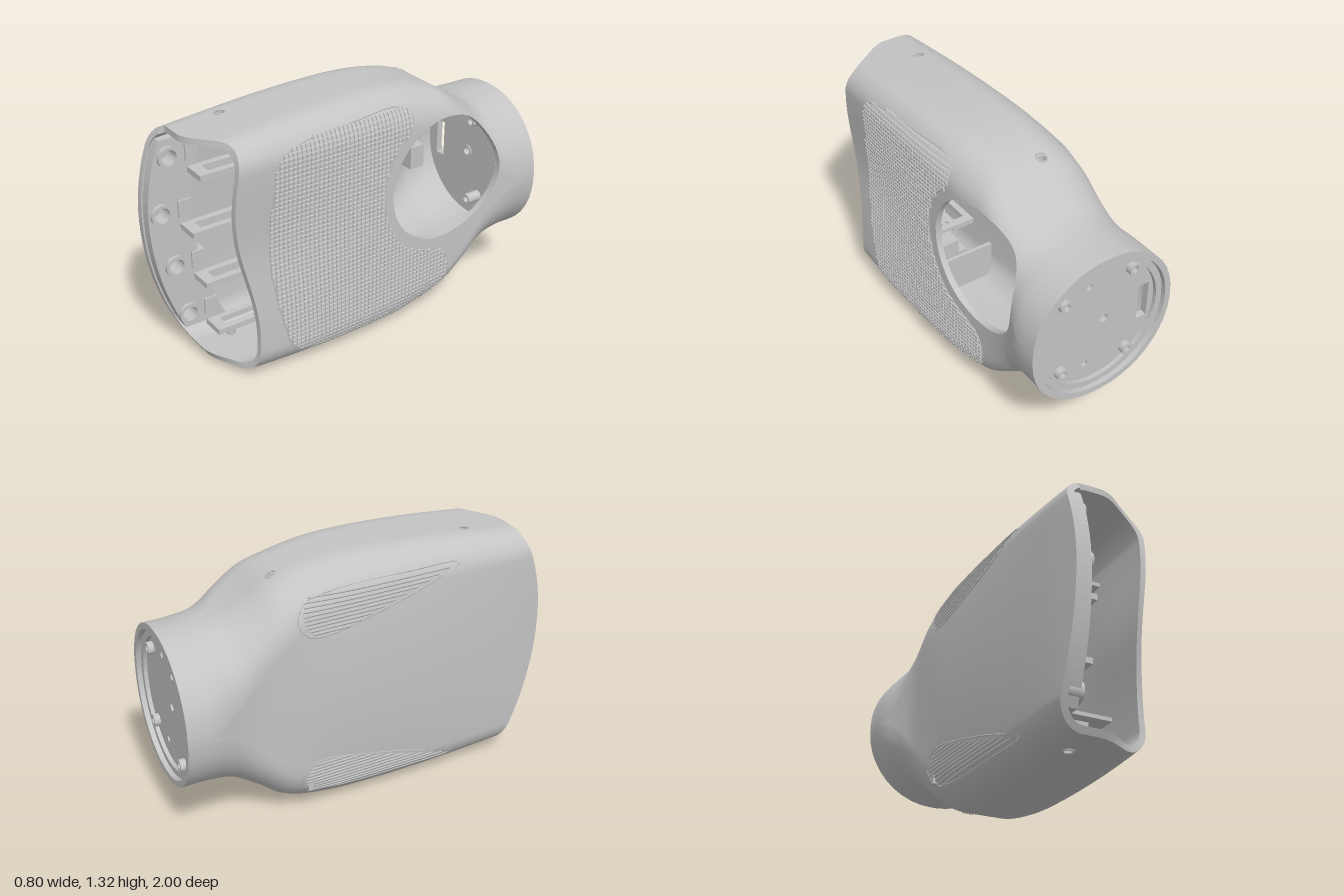
import * as THREE from 'three';
import { mergeGeometries } from 'three/addons/utils/BufferGeometryUtils.js';

const WALL = 0.032, CY = 0.665;
const HOLE = { z: -0.445, y: 0.79, r: 0.335 };
const SCREW = { x: -0.05, zs: [-0.43, 0.62], r: 0.022 };

// Cross-sections: z, xLeft, xRight, yBottom, yTop, corner radius, back bulge
const SECTIONS = [
  [-1, -0.4, 0.4, 0.265, 1.065, 0.385, 0], [-0.85, -0.39, 0.39, 0.265, 1.07, 0.375, 0],
  [-0.72, -0.345, 0.345, 0.235, 1.09, 0.33, 0], [-0.6, -0.315, 0.325, 0.17, 1.15, 0.27, 0],
  [-0.45, -0.3, 0.32, 0.065, 1.25, 0.24, 0.01], [-0.25, -0.265, 0.33, 0.015, 1.305, 0.2, 0.045],
  [0, -0.25, 0.335, 0.003, 1.325, 0.18, 0.05], [0.4, -0.235, 0.335, 0.015, 1.315, 0.16, 0.04],
  [0.8, -0.22, 0.325, 0.045, 1.285, 0.14, 0.02], [1, -0.2, 0.31, 0.055, 1.275, 0.13, 0.01],
];

function section(z, inset) {
  let i = 0;
  while (i < SECTIONS.length - 2 && z > SECTIONS[i + 1][0]) i++;
  const at = k => SECTIONS[Math.max(0, Math.min(SECTIONS.length - 1, k))];
  const [p, a, b, n] = [at(i - 1), at(i), at(i + 1), at(i + 2)];
  const h = b[0] - a[0], t = (z - a[0]) / h, t2 = t * t, t3 = t2 * t;
  const [, xl, xr, yb, yt, r, bulge] = a.map((v, k) => {
    const m0 = (b[k] - p[k]) / (b[0] - p[0]) * h, m1 = (n[k] - a[k]) / (n[0] - a[0]) * h;
    return (2 * t3 - 3 * t2 + 1) * v + (t3 - 2 * t2 + t) * m0 + (3 * t2 - 2 * t3) * b[k] + (t3 - t2) * m1;
  });
  // The palm side keeps tighter corners around the thumb opening
  const rr = r * (1 - 0.42 * Math.exp(-(((z + 0.56) / 0.18) ** 2)));
  return { xl: xl + inset, xr: xr - inset, yb: yb + inset, yt: yt - inset, r: r - inset, rr: rr - inset, bulge };
}

// Bulged back of the hand and hollow palm
function warp(x, y, z, s) {
  if (x < 0) {
    const q = (2 * y - s.yb - s.yt) / (s.yt - s.yb);
    return x - s.bulge * (1 - q * q) * Math.min(1, -x / 0.2);
  }
  return x - 0.03 * THREE.MathUtils.smoothstep(z, -0.1, 0.6) * Math.exp(-(((y - 0.72) / 0.3) ** 2)) * x / 0.33;
}

const ARC = 10, FLAT = 18, LOOP = 4 * (ARC + FLAT);
function corner(s, k, a) {
  const right = k === 0 || k === 3, top = k < 2, r = right ? s.rr : s.r;
  return [(right ? s.xr - r : s.xl + r) + r * Math.cos(a), (top ? s.yt - r : s.yb + r) + r * Math.sin(a)];
}
function skin(u, z, inset) {
  const s = section(z, inset), k = Math.floor(u / (ARC + FLAT)) % 4, j = u % (ARC + FLAT);
  let [x, y] = corner(s, k, (k + Math.min(1, j / ARC)) * Math.PI / 2);
  if (j > ARC) {
    const e = corner(s, (k + 1) % 4, (k + 1) * Math.PI / 2), f = (j - ARC) / FLAT;
    x += (e[0] - x) * f;
    y += (e[1] - y) * f;
  }
  return [warp(x, y, z, s), y, z];
}
// Side surface x at a given y and z
function sideX(side, y, z, inset = 0) {
  const s = section(z, inset), r = side > 0 ? s.rr : s.r;
  const over = Math.max(0, y - s.yt + r, s.yb + r - y);
  const cut = r - Math.sqrt(Math.max(0, r * r - over * over));
  return warp(side > 0 ? s.xr - cut : s.xl + cut, y, z, s);
}

// Scalloped finger end
const knuckleArc = y => 1 - (y < 0.8 ? 0.36 : 0.5) * (y - 0.8) ** 2;
function endZ(x, y) {
  if (x < -0.12) return knuckleArc(y);
  const wave = 0.72 + 0.05 * Math.sin((y - 0.62) * 4.6);
  return THREE.MathUtils.lerp(Math.min(0.88, knuckleArc(y)), wave, THREE.MathUtils.smoothstep(x, 0, 0.3));
}
function shellPoint(u, v, inset) {
  const p = skin(u, 0.85, inset);
  return skin(u, -1 + (endZ(p[0], p[1]) + 1) * v, inset);
}

function grid(nu, nv, fn) {
  const pos = [], idx = [];
  for (let j = 0; j <= nv; j++) for (let i = 0; i < nu; i++) pos.push(...fn(i, j));
  for (let j = 0; j < nv; j++) for (let i = 0; i < nu; i++) {
    const n = (i + 1) % nu, a = j * nu + i, b = j * nu + n;
    idx.push(a, b, b + nu, a, b + nu, a + nu);
  }
  const g = new THREE.BufferGeometry();
  g.setAttribute('position', new THREE.Float32BufferAttribute(pos, 3));
  g.setIndex(idx);
  g.computeVertexNormals();
  return g;
}

// Trim away the part of a surface where keep() is negative
function clip(geo, keep) {
  const P = geo.attributes.position, N = geo.attributes.normal, I = geo.index, pos = [], nor = [];
  const vert = i => [P.getX(i), P.getY(i), P.getZ(i), N.getX(i), N.getY(i), N.getZ(i)];
  for (let i = 0; i < I.count; i += 3) {
    const tri = [0, 1, 2].map(k => vert(I.getX(i + k))), out = [];
    tri.forEach((a, k) => {
      const b = tri[(k + 1) % 3], fa = keep(a), fb = keep(b);
      if (fa >= 0) out.push(a);
      if (fa * fb < 0) out.push(a.map((c, m) => c + (b[m] - c) * fa / (fa - fb)));
    });
    for (let k = 1; k + 1 < out.length; k++) for (const q of [out[0], out[k], out[k + 1]]) {
      pos.push(q[0], q[1], q[2]);
      nor.push(q[3], q[4], q[5]);
    }
  }
  const g = new THREE.BufferGeometry();
  g.setAttribute('position', new THREE.Float32BufferAttribute(pos, 3));
  g.setAttribute('normal', new THREE.Float32BufferAttribute(nor, 3));
  return g;
}

function inside(x, y, poly) {
  let hit = false;
  poly.forEach((a, i) => {
    const b = poly[(i + 1) % poly.length];
    if ((a.y > y) !== (b.y > y) && x < (b.x - a.x) * (y - a.y) / (b.y - a.y) + a.x) hit = !hit;
  });
  return hit;
}
const circle = (x, y, r) => new THREE.Path().absarc(x, y, r, 0, Math.PI * 2);
const disc = (x, y, r) => new THREE.Shape().absarc(x, y, r, 0, Math.PI * 2);
const rect = (x0, y0, x1, y1) => new THREE.Shape([[x0, y0], [x1, y0], [x1, y1], [x0, y1]].map(p => new THREE.Vector2(...p)));
const extrude = (shape, depth, holes = []) => {
  shape.holes.push(...holes);
  return new THREE.ExtrudeGeometry(shape, { depth, bevelEnabled: false, curveSegments: 24 });
};

export function createModel() {
  const group = new THREE.Group();
  const grey = new THREE.MeshStandardMaterial({ name: 'shellGrey', color: 0xc4c4c4, side: THREE.DoubleSide });
  const add = (name, geo) => {
    const m = new THREE.Mesh(geo, grey);
    m.name = name;
    group.add(m);
    return m;
  };
  const box = (name, x0, x1, y0, y1, z0, z1) =>
    add(name, new THREE.BoxGeometry(x1 - x0, y1 - y0, z1 - z0).translate((x0 + x1) / 2, (y0 + y1) / 2, (z0 + z1) / 2));

  // Hollow palm shell with a round thumb opening and drilled screw holes
  const keep = p => p[0] > 0 ? Math.hypot(p[1] - HOLE.y, p[2] - HOLE.z) - HOLE.r
    : Math.min(...SCREW.zs.map(z => Math.hypot(p[0] - SCREW.x, p[2] - z))) - SCREW.r;
  for (const [name, inset] of [['outerShell', 0], ['innerShell', WALL]])
    add(name, clip(grid(LOOP, 110, (u, j) => shellPoint(u, j / 110, inset)), keep));
  add('fingerEndRim', grid(LOOP, 1, (u, j) => shellPoint(u, 1, j * WALL)));
  add('wristRim', grid(LOOP, 1, (u, j) => shellPoint(u, 0, j * WALL)));
  add('thumbOpeningRim', grid(72, 1, (i, j) => {
    const a = i / 72 * Math.PI * 2, y = HOLE.y + HOLE.r * Math.sin(a), z = HOLE.z + HOLE.r * Math.cos(a);
    return [sideX(1, y, z, j * WALL), y, z];
  }));

  // Grip pad: fine outline and rows of low flat-topped nubs
  const outline = [[0.59, 0.65], [0.57, 1.02], [0.53, 1.18], [0.42, 1.225], [0.1, 1.25], [-0.15, 1.25], [-0.225, 1.21],
    [-0.21, 1.12], [-0.11, 1.01], [-0.055, 0.82], [-0.09, 0.62], [-0.2, 0.47], [-0.36, 0.4], [-0.46, 0.35], [-0.49, 0.24],
    [-0.42, 0.13], [-0.28, 0.085], [0, 0.075], [0.38, 0.09], [0.47, 0.13], [0.53, 0.28]];
  const poly = new THREE.CatmullRomCurve3(outline.map(p => new THREE.Vector3(p[0], p[1], 0)), true).getPoints(140).slice(0, -1);
  const bead = new THREE.CatmullRomCurve3(poly.map(p => new THREE.Vector3(sideX(1, p.y, p.x), p.y, p.x)), true);
  add('gripBorder', new THREE.TubeGeometry(bead, 200, 0.004, 5, true));
  const nubs = [], step = 0.024;
  const quad = (a, b, c, d) => nubs.push(...a, ...b, ...c, ...a, ...c, ...d);
  for (let z = -0.5; z < 0.62; z += step) for (let y = 0.06; y < 1.27; y += step) {
    if (!inside(z, y, poly)) continue;
    const ring = (h, lift) => [[-h, -h], [-h, h], [h, h], [h, -h]]
      .map(([dy, dz]) => [sideX(1, y + dy, z + dz) + lift, y + dy, z + dz]);
    const base = ring(0.0105, 0), top = ring(0.0085, 0.009);
    quad(...top);
    base.forEach((p, k) => quad(p, base[(k + 1) % 4], top[(k + 1) % 4], top[k]));
  }
  const nubGeo = new THREE.BufferGeometry();
  nubGeo.setAttribute('position', new THREE.Float32BufferAttribute(nubs, 3));
  nubGeo.computeVertexNormals();
  add('gripNubs', nubGeo);

  // Ribbed teardrop grips on the back of the hand, upper and lower
  for (const flip of [1, -1]) {
    const place = (y, z) => {
      const yy = flip > 0 ? y : 2 * CY - y;
      return new THREE.Vector3(sideX(-1, yy, z), yy, z);
    };
    const tube = (pts, r, closed) => new THREE.TubeGeometry(new THREE.CatmullRomCurve3(pts, closed), 40, r, 5, closed);
    const edge = [[-0.4, 1.1], [-0.36, 1.03], [-0.26, 1.01], [0, 1.06], [0.3, 1.14], [0.5, 1.215], [0.2, 1.225], [-0.2, 1.215], [-0.35, 1.18]];
    const ribs = [tube(edge.map(p => place(p[1], p[0])), 0.004, true)];
    for (let y = 1.03; y < 1.215; y += 0.019) {
      const z0 = -0.37 + 0.06 * ((y - 1.12) / 0.1) ** 2, z1 = -0.2 + 0.68 * (y - 1.01) / 0.205;
      ribs.push(tube([0, 1, 2, 3, 4, 5].map(k => place(y, z0 + (z1 - z0) * k / 5)), 0.006, false));
    }
    add(flip > 0 ? 'upperBackGrip' : 'lowerBackGrip', mergeGeometries(ribs));
  }

  // Screw wells in the top and bottom
  for (const z of SCREW.zs) for (const side of [1, -1]) {
    const s = section(z, 0), y = side > 0 ? s.yt : s.yb;
    const well = add('screwWell', new THREE.CylinderGeometry(SCREW.r, SCREW.r, 0.05, 24, 1, true));
    well.position.set(SCREW.x, y - side * 0.03, z);
    const seat = add('screwSeat', new THREE.TorusGeometry(SCREW.r + 0.004, 0.005, 6, 24).rotateX(Math.PI / 2));
    seat.position.set(SCREW.x, y - side * 0.001, z);
    seat.rotation.x = z < 0 ? -0.4 * side : 0;
  }

  // Wrist plate with screw holes, cable slot and stand-offs
  const screws = [[0.06, 0.9], [0.06, 0.43], [0.205, 0.87], [0.205, 0.46]];
  const plate = extrude(disc(0, CY, 0.37), 0.035, [circle(-0.04, CY, 0.022),
    ...screws.map(p => circle(p[0], p[1], 0.017)), rect(-0.3, 0.56, -0.24, 0.76)]);
  add('wristPlate', plate.translate(0, 0, -0.955));
  add('wristInnerRing', extrude(disc(0, CY, 0.37), 0.02, [circle(0, CY, 0.335)]).translate(0, 0, -0.975));
  for (const [x, y] of [...screws.slice(2), [-0.18, 0.91], [-0.18, 0.42]])
    add('outerStandOff', extrude(disc(x, y, 0.032), 0.035, [circle(x, y, 0.017)]).translate(0, 0, -0.985));
  for (const [x, y] of screws.slice(0, 2))
    add('innerStandOff', extrude(disc(x, y, 0.03), 0.09, [circle(x, y, 0.017)]).translate(0, 0, -0.925));
  add('centreBoss', extrude(disc(-0.04, CY, 0.034), 0.012, [circle(-0.04, CY, 0.022)]).translate(0, 0, -0.925));

  // Inner ribs and brackets behind the thumb opening
  box('innerRib', -0.29, -0.24, 0.15, 1.13, -0.36, -0.335);
  box('innerBracket', -0.27, -0.14, 0.6, 0.73, -0.69, -0.6);
  box('thumbBracket', -0.16, -0.08, 1.03, 1.09, -0.62, -0.5);

  // Knuckle rail, rings and finger frames
  const knuckles = [[0.87, 1.11], [0.925, 0.82], [0.87, 0.52], [0.815, 0.225]];
  const ys = Array.from({ length: 21 }, (_, i) => 0.14 + i * 0.053);
  const rail = new THREE.Shape([...ys.map(y => new THREE.Vector2(knuckleArc(y) - 0.01, y)),
    ...ys.reverse().map(y => new THREE.Vector2(knuckleArc(y) - 0.24, y))]);
  const sideways = (geo, x) => geo.rotateY(-Math.PI / 2).translate(x, 0, 0);
  const flat = geo => geo.rotateX(Math.PI / 2);
  add('knuckleRail', sideways(extrude(rail, 0.07, knuckles.map(p => circle(p[0], p[1], 0.04))), -0.125));
  for (const [z, y] of knuckles) {
    add('knuckleRing', sideways(extrude(disc(z, y, 0.055), 0.09, [circle(z, y, 0.04)]), -0.105));
    box('knuckleBlock', -0.18, -0.115, y - 0.045, y + 0.045, z - 0.16, z - 0.09);
    add('fingerFrame', flat(extrude(rect(-0.13, 0.25, 0, z - 0.1), 0.03, [rect(-0.095, 0.3, -0.035, z - 0.16)])).translate(0, y - 0.08, 0));
    const dots = [0.3, 0.37, 0.44].flatMap(q => [circle(0.01, q, 0.011), circle(0.05, q, 0.011)]);
    add('servoPlate', flat(extrude(rect(-0.03, 0.25, 0.08, 0.5), 0.018, dots)).translate(0, y - 0.078, 0));
  }
  box('lowerDeck', -0.05, 0.26, 0.28, 0.3, 0.2, 0.5);
  box('lowerBlock', 0, 0.25, 0.3, 0.38, 0.2, 0.3);
  box('upperDeck', -0.14, 0.25, 1.03, 1.05, 0.1, 0.45);
  box('lowerBulkhead', -0.2, 0.27, 0.07, 0.28, 0.18, 0.2);
  return group;
}
